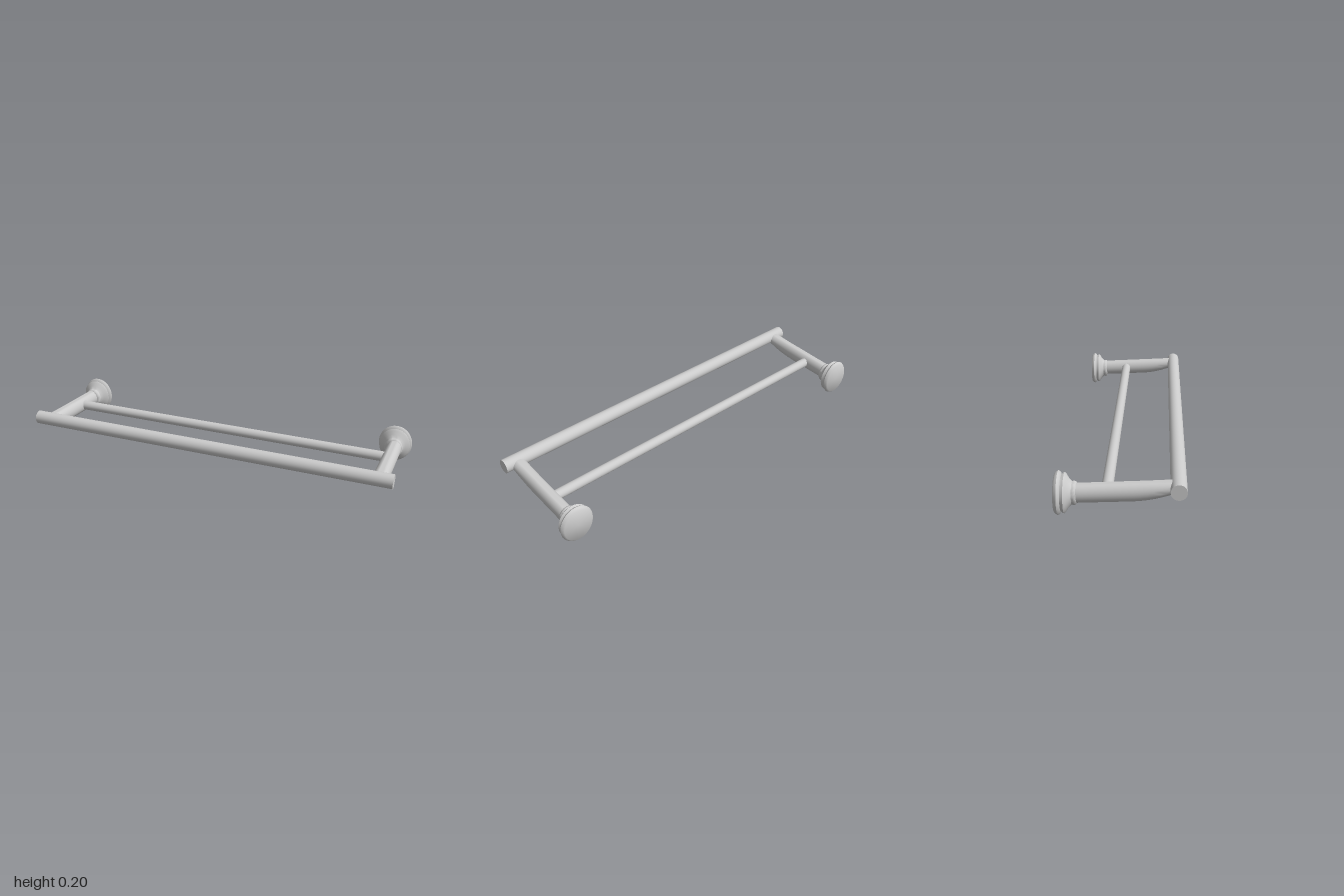
import * as THREE from 'three';
import { toCreasedNormals } from 'three/addons/utils/BufferGeometryUtils.js';

const material = new THREE.MeshStandardMaterial({ color: 0xcccccc });

function addMesh(parent, name, geometry) {
  const mesh = new THREE.Mesh(geometry, material);
  mesh.name = name;
  parent.add(mesh);
  return mesh;
}

// Horizontal round rail along x
function rail(radius, length, y, z) {
  return new THREE.CylinderGeometry(radius, radius, length, 32).rotateZ(Math.PI / 2).translate(0, y, z);
}

// Stepped wall flange, turned around z (radius, z), slightly narrower than tall
function flangeGeometry() {
  const profile = [
    [0, -0.284], [0.086, -0.284], [0.095, -0.276], [0.099, -0.268], [0.094, -0.26],
    [0.083, -0.255], [0.083, -0.253], [0.09, -0.246], [0.091, -0.241], [0.083, -0.233],
    [0.067, -0.224], [0.057, -0.214], [0.052, -0.209], [0.054, -0.2], [0.051, -0.191],
    [0.043, -0.186], [0, -0.186],
  ].map(([r, z]) => new THREE.Vector2(r, z));
  const geometry = new THREE.LatheGeometry(profile, 32).rotateX(Math.PI / 2);
  geometry.scale(0.89, 1, 1);
  return toCreasedNormals(geometry, 0.8);
}

// Oval arm that rises gently and tapers up from below toward the front rail
function armGeometry() {
  const geometry = new THREE.CylinderGeometry(1, 1, 0.46, 24, 16).rotateX(Math.PI / 2).translate(0, 0, 0.03);
  const p = geometry.attributes.position;
  for (let i = 0; i < p.count; i++) {
    const z = p.getZ(i);
    const top = 0.147 + 0.055 * (z + 0.2);
    const bottom = 0.058 + 0.05 * (z + 0.2) + Math.max(0, z - 0.05) ** 2;
    p.setX(i, p.getX(i) * 0.038);
    p.setY(i, (top + bottom) / 2 + p.getY(i) * (top - bottom) / 2);
  }
  return toCreasedNormals(geometry, 0.8);
}

export function createModel() {
  const group = new THREE.Group();
  group.name = 'doubleTowelRail';

  addMesh(group, 'frontRail', rail(0.036, 1.976, 0.147, 0.25));
  addMesh(group, 'rearRail', rail(0.026, 1.8, 0.112, -0.059));

  // Mirrored brackets
  for (const [side, s] of [['left', 1], ['right', -1]]) {
    const bracket = new THREE.Group();
    bracket.name = side + 'Bracket';
    addMesh(bracket, side + 'Flange', flangeGeometry()).position.set(s * 0.912, 0.1, 0);
    addMesh(bracket, side + 'Arm', armGeometry()).position.set(s * 0.917, 0, 0);
    group.add(bracket);
  }
  return group;
}
